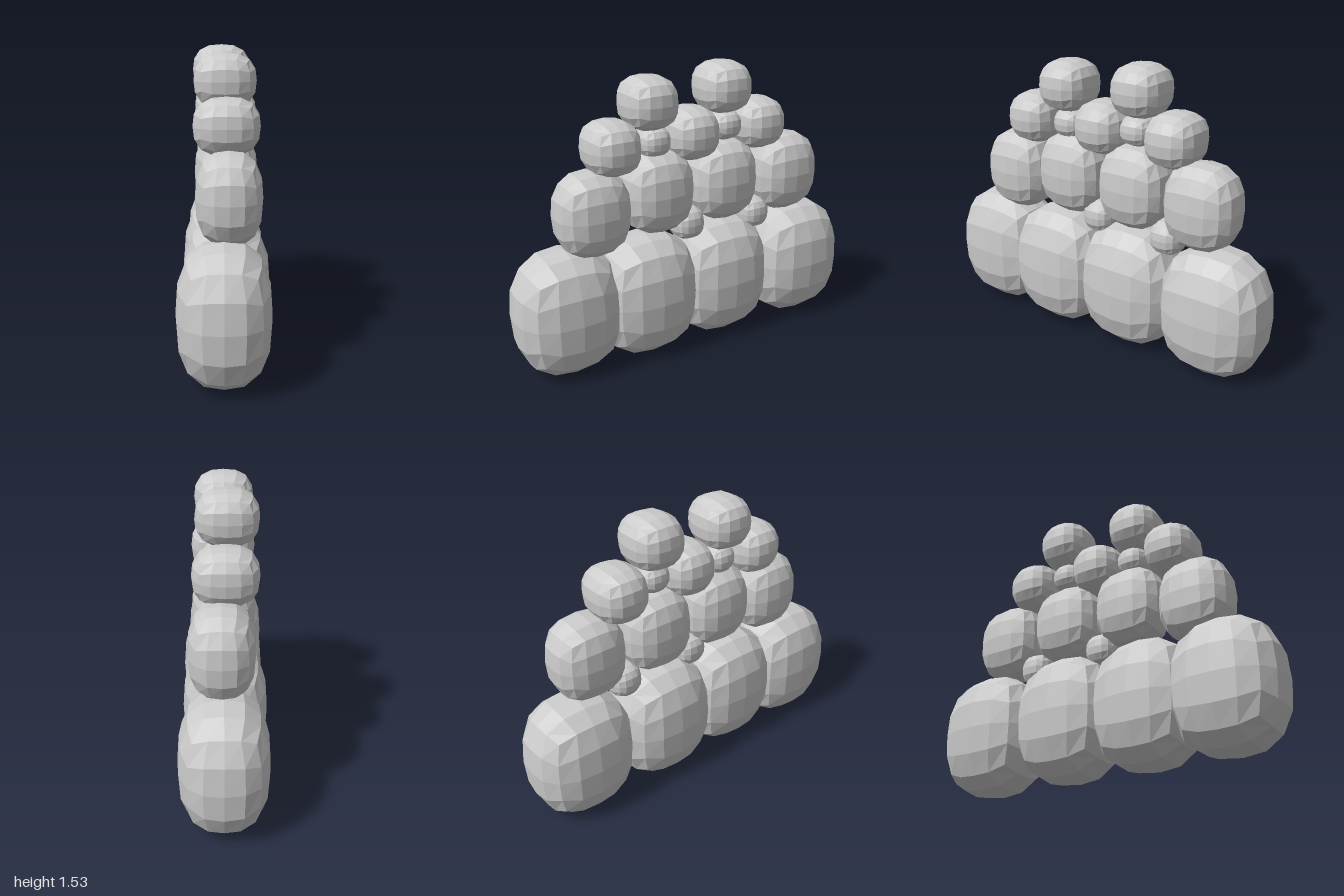
import * as THREE from 'three';
import { mergeVertices } from 'three/addons/utils/BufferGeometryUtils.js';

// A cube with 4 x 4 faces per side, swollen into a boxy pebble of half-size 1
function stoneGeometry() {
  const geometry = new THREE.BoxGeometry(2, 2, 2, 4, 4, 4);
  geometry.deleteAttribute('normal');
  geometry.deleteAttribute('uv');
  const pos = geometry.attributes.position;
  const power = 2.6;
  const ease = (v) => (Math.abs(v) === 0.5 ? v * 0.9 : v);
  for (let i = 0; i < pos.count; i++) {
    const p = [pos.getX(i), pos.getY(i), pos.getZ(i)].map(ease);
    const length = p.reduce((sum, v) => sum + Math.abs(v) ** power, 0) ** (1 / power);
    pos.setXYZ(i, p[0] / length, p[1] / length, p[2] / length);
  }
  const merged = mergeVertices(geometry);
  merged.computeVertexNormals();
  return merged;
}

// Each course: name, half-size [x, y, z], and stone centres [x, y, z]
const courses = [
  ['baseStone', [0.224, 0.337, 0.285], [
    [-0.015, 0.34, 0.71], [0, 0.34, 0.265], [-0.01, 0.34, -0.2], [0, 0.34, -0.71]]],
  ['secondStone', [0.16, 0.222, 0.197], [
    [0.01, 0.85, 0.56], [0, 0.9, 0.185], [0, 0.9, -0.215], [0.01, 0.885, -0.617]]],
  ['lowerFiller', [0.1, 0.092, 0.09], [
    [0, 0.69, 0.005], [0, 0.67, -0.42]]],
  ['thirdStone', [0.162, 0.14, 0.143], [
    [0, 1.17, 0.44], [0, 1.185, -0.015], [-0.01, 1.185, -0.44]]],
  ['upperFiller', [0.1, 0.08, 0.087], [
    [0, 1.17, 0.205], [0, 1.2, -0.225]]],
  ['topStone', [0.157, 0.137, 0.144], [
    [-0.005, 1.37, 0.225], [-0.02, 1.4, -0.225]]],
];

export function createModel() {
  const wall = new THREE.Group();
  wall.name = 'stoneWall';
  const material = new THREE.MeshStandardMaterial({ color: 0xcccccc, flatShading: true });
  const geometry = stoneGeometry();

  for (const [name, halfSize, centres] of courses) {
    centres.forEach((centre, i) => {
      const stone = new THREE.Mesh(geometry, material);
      stone.name = `${name}${i + 1}`;
      stone.scale.set(...halfSize);
      stone.position.set(...centre);
      wall.add(stone);
    });
  }
  return wall;
}
